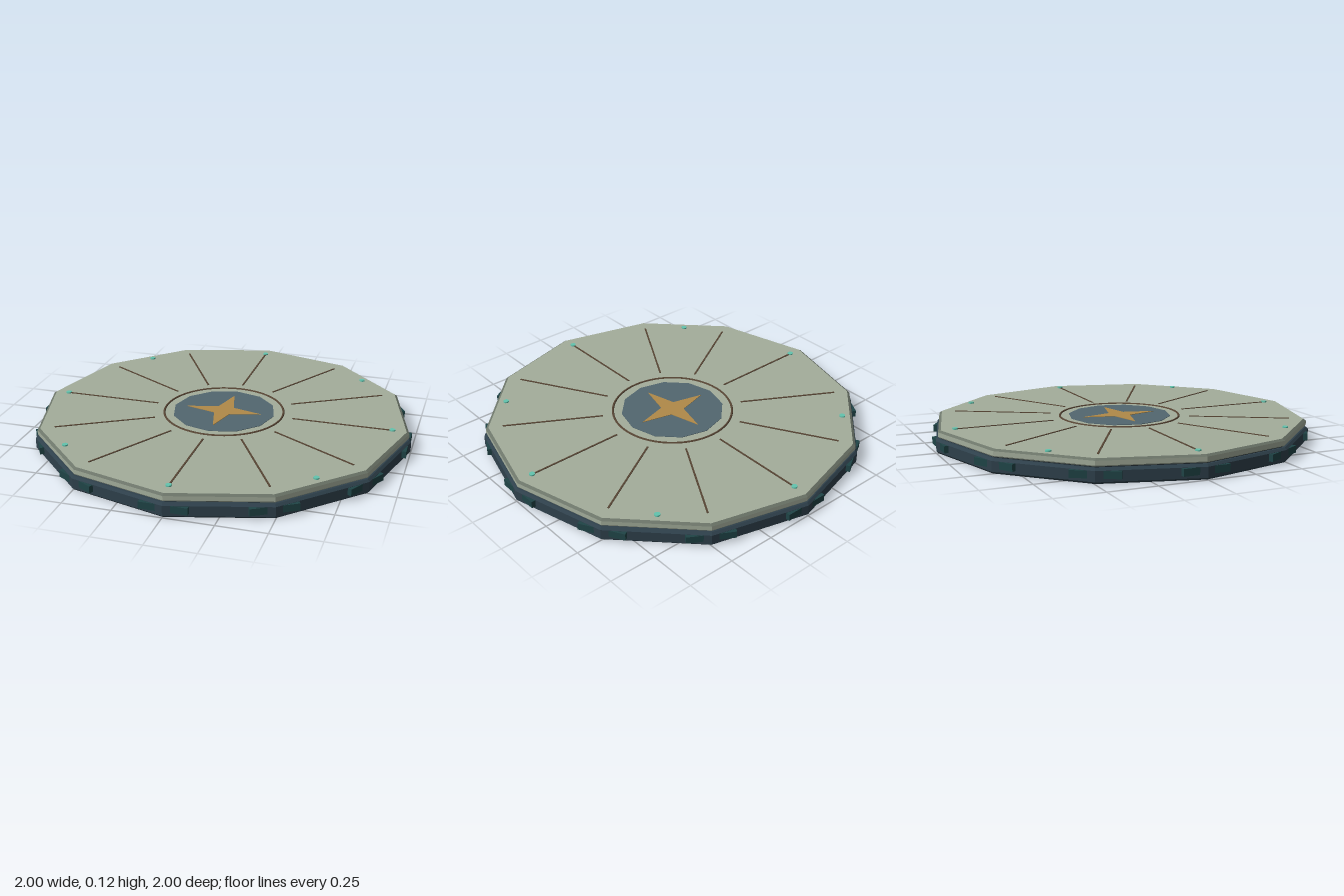
import * as THREE from 'three';

const SIDES = 12;
const mat = (color) => new THREE.MeshStandardMaterial({ color, flatShading: true });

export function createModel() {
  const root = new THREE.Group();
  root.name = 'roundPlatform';
  const mats = {
    base: mat(0x2e404b), deck: mat(0xa3ad9b), trim: mat(0x6b7468), groove: mat(0x574534),
    hub: mat(0x526770), star: mat(0xb08a48), stud: mat(0x62c4ae), clip: mat(0x1f4446),
    under: mat(0x1f2a31),
  };

  const add = (name, geometry, material, x = 0, y = 0, z = 0, turn = 0) => {
    const mesh = new THREE.Mesh(geometry, material);
    mesh.name = name;
    mesh.position.set(x, y, z);
    mesh.rotation.y = turn;
    root.add(mesh);
    return mesh;
  };
  // Faceted solid of revolution from [radius, height] pairs, bottom to top
  const slab = (points) =>
    new THREE.LatheGeometry(points.map(([r, y]) => new THREE.Vector2(r, y)), SIDES);
  // Repeat a part around the platform; its local +z points outward
  const around = (name, count, radius, y, geometry, material) => {
    for (let i = 0; i < count; i++) {
      const a = (i / count) * Math.PI * 2;
      add(name, geometry, material, Math.sin(a) * radius, y, Math.cos(a) * radius, a);
    }
  };

  // Dark base with bevelled edges, and the recessed neck under the deck
  add('underside', slab([[0, 0], [0.99, 0]]), mats.under);
  add('base', slab([[0.99, 0], [1, 0.01], [1, 0.062], [0.988, 0.073], [0, 0.073]]), mats.base);
  add('neck', slab([[0.975, 0.07], [0.975, 0.082]]), mats.under);

  // Pale deck with a darker bevelled rim
  add('deckSide', slab([[0.9, 0.079], [0.985, 0.079], [0.988, 0.084], [0.988, 0.106]]), mats.deck);
  add('deckRim', slab([[0.988, 0.106], [0.974, 0.115]]), mats.trim);
  add('deckTop', slab([[0.974, 0.115], [0, 0.115]]), mats.deck);

  // Corner clips: each vertex of the base pokes through the middle of its clip
  around('cornerClip', SIDES, 0.97, 0.043, new THREE.BoxGeometry(0.24, 0.036, 0.04), mats.clip);

  // Radial grooves and rim studs
  around('radialGroove', 12, 0.637, 0.115, new THREE.BoxGeometry(0.009, 0.006, 0.525), mats.groove);
  around('rimStud', 8, 0.9, 0.117, new THREE.CylinderGeometry(0.015, 0.015, 0.01, 12), mats.stud);

  // Central ring, hub plate and four-pointed star
  const ring = new THREE.TorusGeometry(0.318, 0.006, 6, 64).rotateX(Math.PI / 2);
  add('hubRing', ring, mats.groove, 0, 0.115, 0);
  add('hubPlate', new THREE.CylinderGeometry(0.273, 0.273, 0.01, SIDES), mats.hub, 0, 0.1125, 0);

  const star = new THREE.Shape();
  for (let i = 0; i < 8; i++) {
    const a = (i * Math.PI) / 4;
    const r = i % 2 ? 0.06 : 0.205;
    star[i ? 'lineTo' : 'moveTo'](Math.cos(a) * r, Math.sin(a) * r);
  }
  star.closePath();
  const starGeometry = new THREE.ExtrudeGeometry(star, { depth: 0.004, bevelEnabled: false });
  add('star', starGeometry.rotateX(-Math.PI / 2), mats.star, 0, 0.116, 0);

  return root;
}
